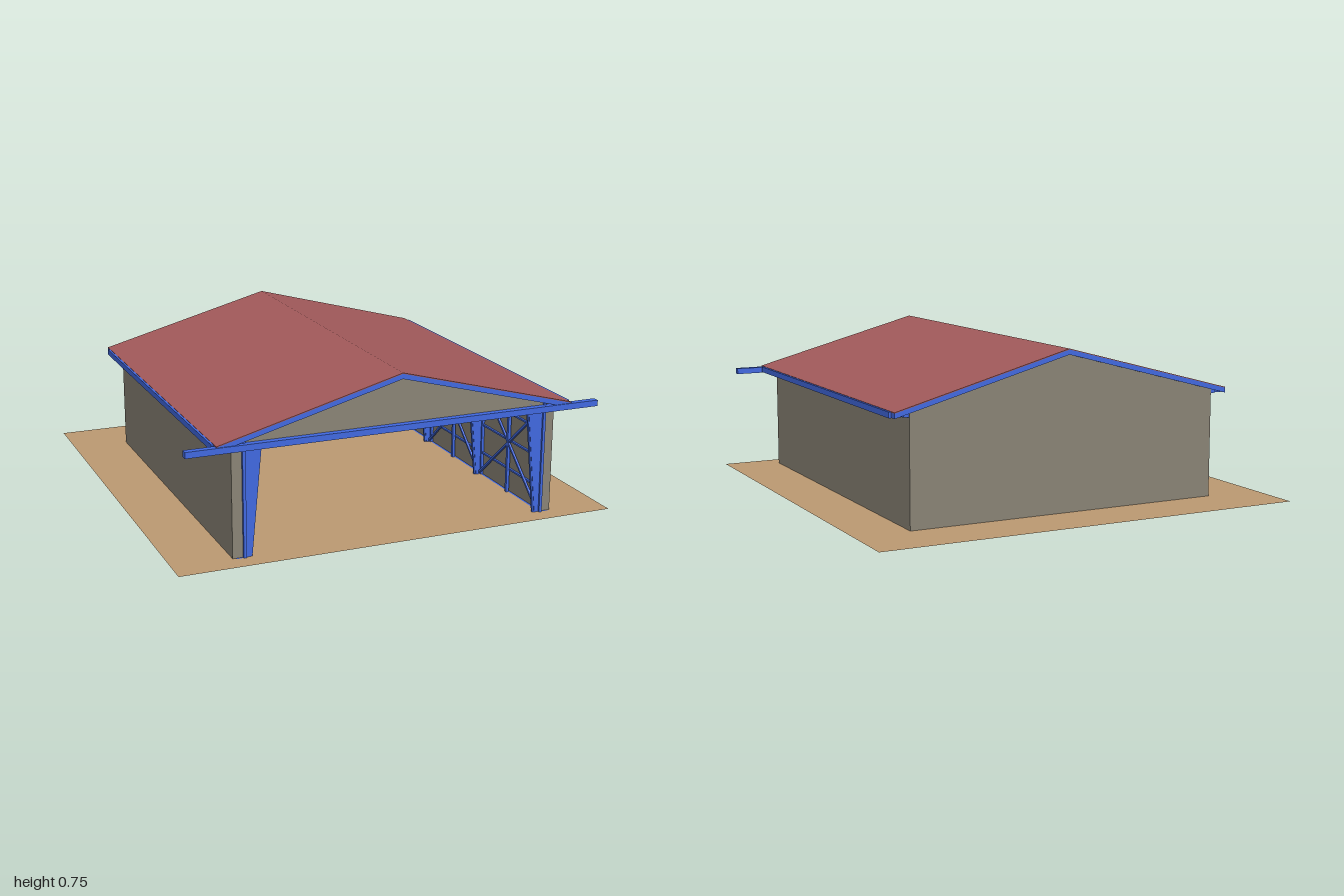
import * as THREE from 'three';

export function createModel() {
  const model = new THREE.Group();
  model.name = 'openFrontHall';
  const hall = new THREE.Group();
  hall.name = 'hall';
  hall.position.x = 0.005;
  model.add(hall);

  const mat = (name, color) => Object.assign(new THREE.MeshStandardMaterial({ color }), { name });
  const steel = mat('blueSteel', 0x4169e1);
  const wall = mat('greyCladding', 0x8a8476);
  const roof = mat('redRoof', 0xa35a5b);
  const earth = mat('tanGround', 0xbd9a72);
  earth.side = THREE.DoubleSide;

  function add(name, geometry, material, parent = hall) {
    const mesh = new THREE.Mesh(geometry, material);
    mesh.name = name;
    parent.add(mesh);
    return mesh;
  }
  // Box given by its limits on each axis
  function box(name, m, [x0, x1], [y0, y1], [z0, z1]) {
    const mesh = add(name, new THREE.BoxGeometry(x1 - x0, y1 - y0, z1 - z0), m);
    mesh.position.set((x0 + x1) / 2, (y0 + y1) / 2, (z0 + z1) / 2);
    return mesh;
  }
  // Outline in x and y, extruded from z0 to z1
  function slab(name, m, points, z0, z1) {
    const shape = new THREE.Shape(points.map(([x, y]) => new THREE.Vector2(x, y)));
    const geometry = new THREE.ExtrudeGeometry(shape, { depth: z1 - z0, bevelEnabled: false });
    geometry.translate(0, 0, z0);
    return add(name, geometry, m);
  }
  // Box limits mirrored to either side
  const span = (s, a, b) => (s > 0 ? [a, b] : [-b, -a]);
  // Square bar between two points
  function bar(name, a, b, width) {
    const from = new THREE.Vector3(...a), to = new THREE.Vector3(...b);
    const mesh = add(name, new THREE.BoxGeometry(width, from.distanceTo(to), width), steel);
    mesh.position.copy(from).add(to).multiplyScalar(0.5);
    mesh.quaternion.setFromUnitVectors(new THREE.Vector3(0, 1, 0), to.sub(from).normalize());
    return mesh;
  }

  // Ground plate
  const ground = add('ground', new THREE.PlaneGeometry(2, 2).rotateX(-Math.PI / 2), earth, model);
  ground.position.y = 0.027;

  // Roof skin above a deeper steel edge
  const roofY = (x) => 0.745 - 0.267 * Math.abs(x);
  const chevron = (half, top, bottom) => [
    [-half, roofY(half) - top], [-half, roofY(half) - bottom], [0, 0.745 - bottom],
    [half, roofY(half) - bottom], [half, roofY(half) - top], [0, 0.745 - top],
  ];
  slab('roofSkin', roof, chevron(0.815, 0, 0.004), -0.748, 0.935);
  slab('roofEdge', steel, chevron(0.815, 0.004, 0.026), -0.748, 0.935);

  // Back wall and front gable
  const gable = (bottom) => [
    [-0.745, bottom], [0.745, bottom], [0.745, 0.522], [0, 0.721], [-0.745, 0.522],
  ];
  slab('backWall', wall, gable(0.027), -0.737, -0.72);
  slab('frontGable', wall, gable(0.5), 0.895, 0.91);
  box('backLining', wall, [-0.69, 0.69], [0, 0.272], [-0.72, -0.695]);

  // Front tie beam and back sill
  box('tieBeam', steel, [-0.947, 0.947], [0.495, 0.522], [0.91, 0.94]);
  box('backSill', steel, [-0.733, 0.733], [0, 0.027], [-0.73, -0.7]);

  // Side walls, sills and gutters
  for (const s of [1, -1]) {
    box('sideWall', wall, span(s, 0.7, 0.745), [0.027, 0.522], [-0.735, 0.907]);
    box('sideSill', steel, span(s, 0.69, 0.733), [0, 0.027], [-0.73, 0.915]);
    box('gutter', steel, span(s, 0.77, 0.825), [0.5, 0.526], [-0.712, 0.9]);
    box('eaveBeam', steel, span(s, 0.745, 0.77), [0.502, 0.52], [-0.735, 0.91]);
    for (const y of [0.135, 0.272, 0.4])
      box('sideRail', steel, span(s, 0.69, 0.7), [y - 0.004, y + 0.004], [-0.7, 0.9]);
  }

  // Portal frames: tapered columns with flanges, and rafters
  const frames = [-0.7, -0.17, 0.36, 0.902];
  for (const z of frames) {
    for (const s of [1, -1]) {
      slab('column', steel, [[0.67, 0], [0.69, 0], [0.69, 0.535], [0.62, 0.53], [0.62, 0.49]]
        .map(([x, y]) => [s * x, y]), z - 0.008, z + 0.008);
      box('columnFlange', steel, span(s, 0.687, 0.7), [0, 0.53], [z - 0.017, z + 0.017]);
      bar('columnInnerFlange', [s * 0.668, 0, z], [s * 0.62, 0.5, z], 0.012);
    }
    if (z < 0.9) slab('rafter', steel, chevron(0.7, 0.026, 0.065), z - 0.012, z + 0.012);
  }

  // Side bays: middle post and cross bracing
  for (let i = 0; i < 3; i++) {
    const z0 = frames[i], z1 = frames[i + 1], mid = (z0 + z1) / 2;
    for (const s of [1, -1]) {
      const x = s * 0.685;
      bar('sidePost', [x, 0, mid], [x, 0.52, mid], 0.014);
      bar('brace', [x, 0.03, z0], [x, 0.5, z1], 0.01);
      bar('brace', [x, 0.5, z0], [x, 0.03, z1], 0.01);
    }
  }

  // Back wall framing
  for (const x of [-0.505, 0, 0.505])
    box('backPost', steel, [x - 0.007, x + 0.007], [0, roofY(x) - 0.03], [-0.72, -0.685]);
  for (const x of [-0.25, 0.25])
    box('backStud', steel, [x - 0.003, x + 0.003], [0, 0.272], [-0.72, -0.69]);
  for (const [y, h] of [[0.045, 0.002], [0.135, 0.003], [0.272, 0.005], [0.4, 0.005]])
    box('backRail', steel, [-0.69, 0.69], [y - h, y + h], [-0.72, -0.69]);

  // Roof purlins
  for (const s of [1, -1])
    for (const x of [0.12, 0.3, 0.48, 0.66])
      bar('purlin', [s * x, roofY(x) - 0.034, -0.72], [s * x, roofY(x) - 0.034, 0.9], 0.014);

  return model;
}
